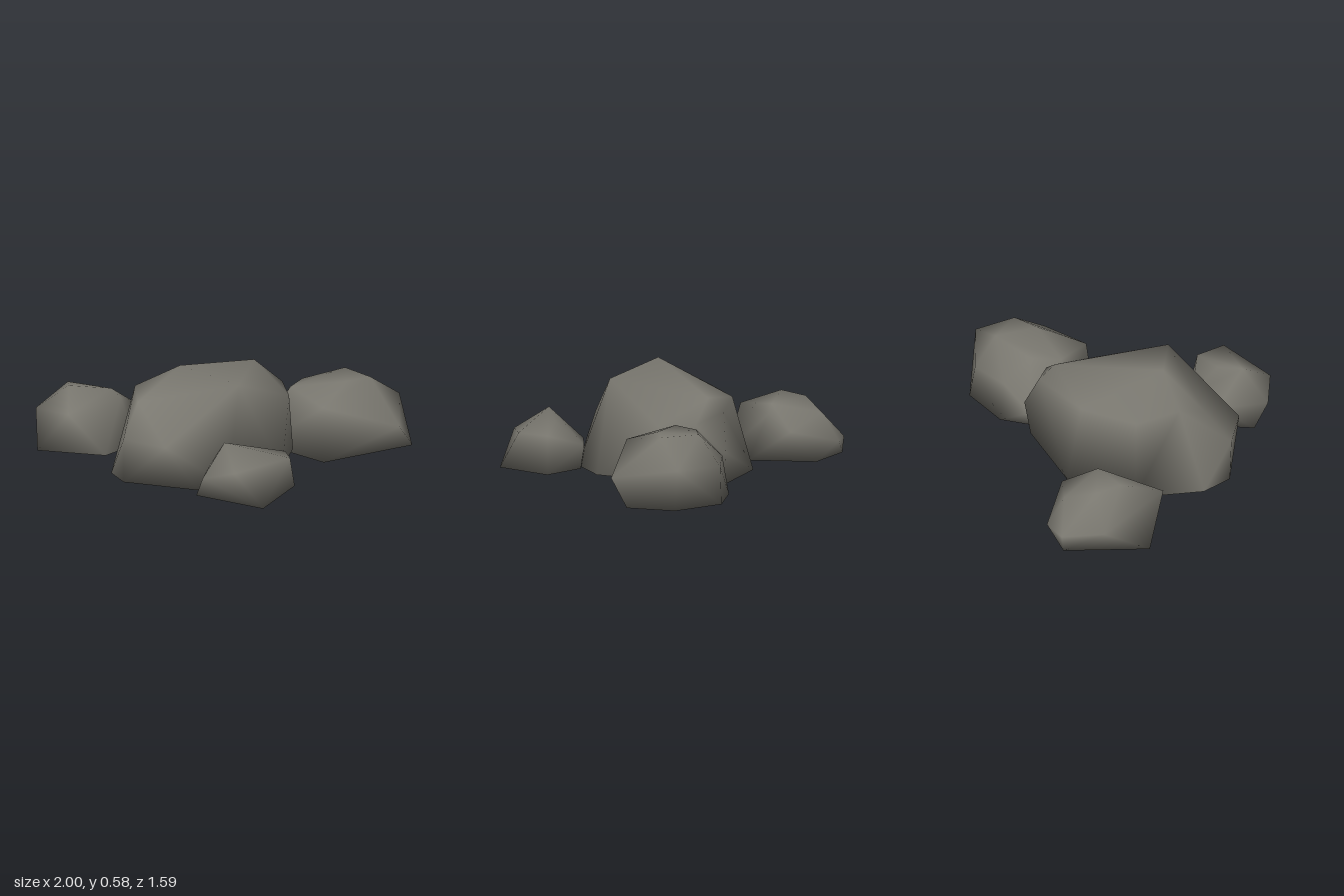
import * as THREE from 'three';
import { ConvexGeometry } from 'three/addons/geometries/ConvexGeometry.js';
import { mergeVertices } from 'three/addons/utils/BufferGeometryUtils.js';

const stone = new THREE.MeshStandardMaterial({ color: 0x7a7870 });
stone.name = 'warm grey stone';

// A boulder is the hull of a few corner points, with smooth shared normals
function boulder(name, corners) {
  const hull = new ConvexGeometry(corners.map((c) => new THREE.Vector3(...c)));
  hull.deleteAttribute('normal');
  const geometry = mergeVertices(hull, 1e-4);
  geometry.computeVertexNormals();
  const mesh = new THREE.Mesh(geometry, stone);
  mesh.name = name;
  return mesh;
}

export function createModel() {
  const group = new THREE.Group();
  group.name = 'boulders';

  group.add(boulder('largeBoulder', [
    // foot
    [-0.62, 0.01, 0.14], [-0.56, 0.01, 0.31], [-0.17, 0.01, 0.47], [0, 0.01, 0.41],
    [0.29, 0.03, 0.18], [0.36, 0.04, -0.18], [0.21, 0.02, -0.53], [-0.25, 0.01, -0.5], [-0.54, 0.01, -0.22],
    // flanks
    [-0.56, 0.25, 0.32], [-0.34, 0.24, 0.45], [0.25, 0.2, -0.55], [0.34, 0.33, -0.2], [0.31, 0.35, -0.4],
    // crown
    [-0.49, 0.47, 0.05], [-0.48, 0.42, 0.2], [-0.25, 0.58, 0.05], [0.06, 0.51, 0.2],
    [0.16, 0.47, -0.41], [0.16, 0.4, -0.5], [-0.2, 0.41, -0.4], [-0.44, 0.41, -0.18],
  ]));

  group.add(boulder('leftBoulder', [
    // foot
    [0.2, 0.01, -0.37], [0.52, 0, -0.05], [1, 0.02, -0.29],
    [0.93, 0.01, -0.54], [0.67, 0.01, -0.7], [0.4, 0.01, -0.63],
    // flanks
    [0.93, 0.16, -0.17], [0.94, 0.23, -0.56], [0.64, 0.21, -0.68], [0.42, 0.22, -0.6], [0.25, 0.12, -0.52],
    // crown
    [0.35, 0.35, -0.3], [0.52, 0.29, -0.09], [0.65, 0.37, -0.32],
    [0.78, 0.37, -0.4], [0.65, 0.375, -0.56], [0.42, 0.35, -0.45],
  ]));

  group.add(boulder('rightBoulder', [
    // foot
    [-1, 0, -0.32], [-0.64, 0.01, -0.18], [-0.47, 0.01, -0.38], [-0.57, 0.01, -0.73], [-0.86, 0.01, -0.76],
    // flanks
    [-1, 0.16, -0.58], [-0.86, 0.1, -0.77], [-0.72, 0.1, -0.8], [-0.48, 0.18, -0.62], [-0.84, 0.24, -0.18],
    // crown
    [-0.83, 0.33, -0.42], [-0.6, 0.3, -0.46], [-0.55, 0.25, -0.46], [-0.72, 0.25, -0.7], [-0.83, 0.31, -0.56],
  ]));

  group.add(boulder('frontBoulder', [
    // foot
    [-0.18, 0.02, 0.6], [0.17, 0, 0.79], [0.35, 0.02, 0.44], [0.08, 0.01, 0.36], [-0.07, 0.01, 0.41],
    // flanks
    [-0.15, 0.14, 0.69], [0.02, 0.19, 0.77], [0.08, 0.14, 0.34], [-0.1, 0.14, 0.42],
    // crown
    [-0.03, 0.31, 0.59], [0.32, 0.23, 0.62], [0.3, 0.22, 0.46], [0.1, 0.26, 0.5],
  ]));

  return group;
}
